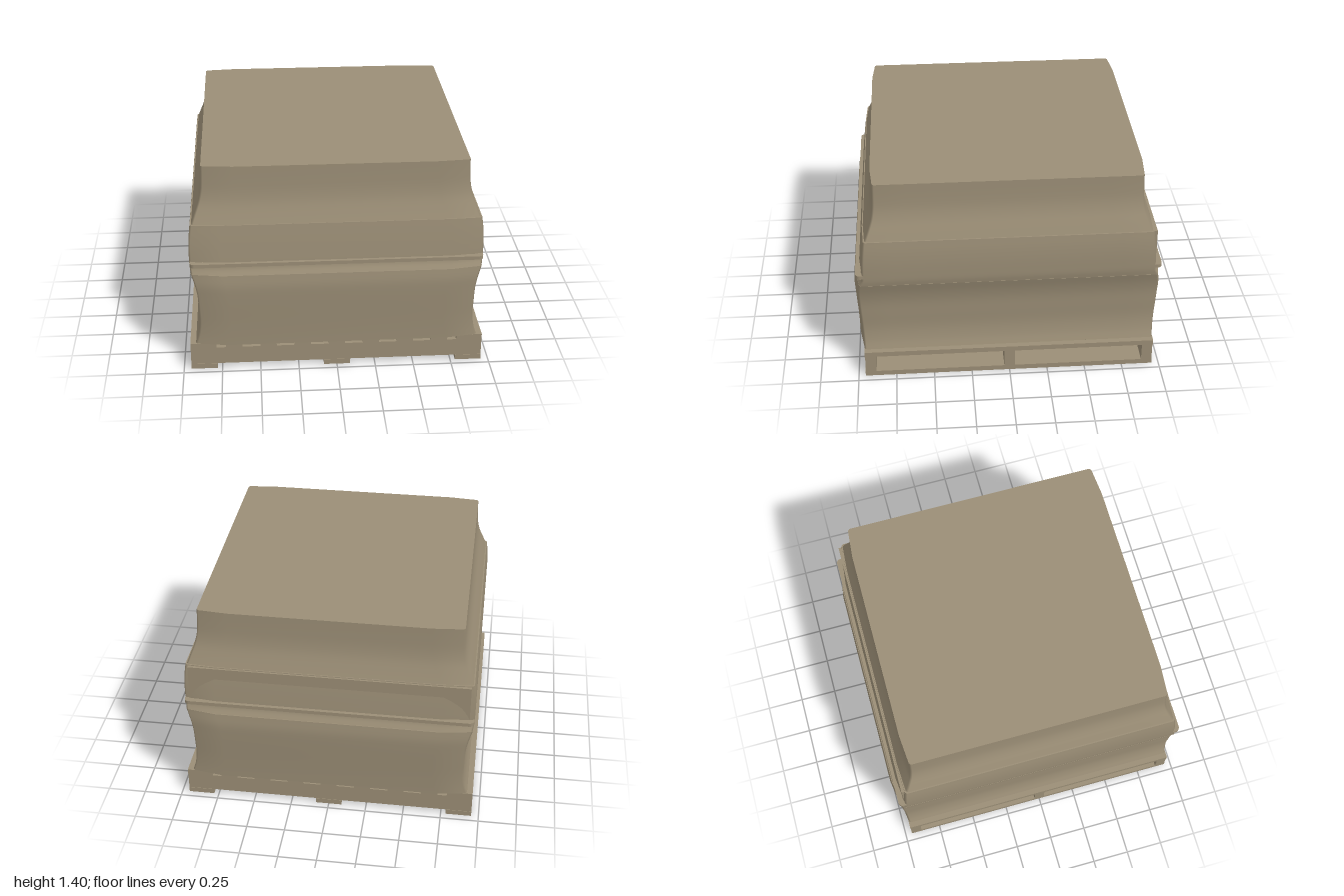
import * as THREE from 'three';

const wrapped = new THREE.MeshStandardMaterial({ color: 0x9b8e76 });
wrapped.name = 'tan';

// Outline of the load at one height: nearly square, bowed a little along front and back
function section(hx, hz, bow) {
  const quarter = [[hx, hz - 0.22], [hx, hz - bow - 0.012], [hx - 0.012, hz - bow], [hx - 0.2, hz]];
  const back = [...quarter].reverse();
  return [
    ...quarter,
    ...back.map(([x, z]) => [-x, z]),
    ...quarter.map(([x, z]) => [-x, -z]),
    ...back.map(([x, z]) => [x, -z]),
  ];
}

// Smooth wall through [y, halfX, halfZ, bow] rows, closed by flat caps
function loft(profile, rows) {
  const curve = new THREE.CatmullRomCurve3(profile.map(([y, hx, hz]) => new THREE.Vector3(hx, y, hz)));
  const bows = profile.map((p) => p[3]);
  const pos = [], index = [];
  let n = 0;
  const ring = (t) => {
    const p = curve.getPoint(t);
    const f = t * (bows.length - 1), k = Math.min(Math.floor(f), bows.length - 2);
    const pts = section(p.x, p.z, THREE.MathUtils.lerp(bows[k], bows[k + 1], f - k));
    n = pts.length;
    pts.forEach(([x, z]) => pos.push(x, p.y, z));
  };
  for (let r = 0; r <= rows; r++) ring(r / rows);
  for (let r = 0; r < rows; r++) {
    for (let i = 0; i < n; i++) {
      const a = r * n + i, b = r * n + (i + 1) % n;
      index.push(a, a + n, b, b, a + n, b + n);
    }
  }
  const low = (rows + 1) * n, high = low + n;
  ring(0);
  ring(1);
  for (let i = 1; i < n - 1; i++) {
    index.push(low, low + i, low + i + 1, high, high + i + 1, high + i);
  }
  const geo = new THREE.BufferGeometry();
  geo.setAttribute('position', new THREE.Float32BufferAttribute(pos, 3));
  geo.setIndex(index);
  geo.computeVertexNormals();
  return geo;
}

function roundedRect(Type, hx, hz, r) {
  const s = new Type();
  s.moveTo(hx, -hz + r);
  s.lineTo(hx, hz - r);
  s.absarc(hx - r, hz - r, r, 0, Math.PI / 2);
  s.absarc(-hx + r, hz - r, r, Math.PI / 2, Math.PI);
  s.absarc(-hx + r, -hz + r, r, Math.PI, Math.PI * 1.5);
  s.absarc(hx - r, -hz + r, r, Math.PI * 1.5, Math.PI * 2);
  return s;
}

export function createModel() {
  const model = new THREE.Group();
  model.name = 'wrappedPallet';
  const add = (parent, name, geo, x = 0, y = 0, z = 0) => {
    const mesh = new THREE.Mesh(geo, wrapped);
    mesh.name = name;
    mesh.position.set(x, y, z);
    parent.add(mesh);
    return mesh;
  };
  const box = (parent, name, x0, x1, y0, y1, z0, z1) =>
    add(parent, name, new THREE.BoxGeometry(x1 - x0, y1 - y0, z1 - z0), (x0 + x1) / 2, (y0 + y1) / 2, (z0 + z1) / 2);

  // Pallet: bottom boards, stringers and deck slats
  const pallet = new THREE.Group();
  pallet.name = 'pallet';
  model.add(pallet);
  for (const x of [-0.867, 0, 0.867]) box(pallet, 'bottomBoard', x - 0.085, x + 0.085, 0, 0.035, -0.955, 0.955);
  for (const z of [-0.917, 0, 0.917]) box(pallet, 'stringer', -0.952, 0.952, 0.035, 0.155, z - 0.035, z + 0.035);
  for (const s of [-1, 1]) box(pallet, 'endSlat', s * 0.868 - 0.084, s * 0.868 + 0.084, 0.155, 0.19, -0.955, 0.955);
  for (let i = -3; i <= 3; i++) box(pallet, 'deckSlat', i * 0.223 - 0.053, i * 0.223 + 0.053, 0.155, 0.19, -0.955, 0.955);

  // Load: bulging lower part, wrapped band, tapering upper part
  const load = new THREE.Group();
  load.name = 'load';
  model.add(load);
  add(load, 'lowerLoad', loft([
    [0.19, 0.915, 0.982, 0.03], [0.25, 0.896, 0.984, 0.03], [0.34, 0.883, 0.988, 0.03], [0.45, 0.885, 0.994, 0.03],
    [0.55, 0.889, 0.999, 0.03], [0.63, 0.903, 1.0, 0.03], [0.705, 0.925, 0.99, 0.03],
  ], 18), 0, 0, 0);
  add(load, 'wrapBand', loft([
    [0.705, 0.923, 0.985, 0.025], [0.745, 0.93, 0.964, 0.025], [0.8, 0.932, 0.957, 0.02],
    [0.88, 0.932, 0.948, 0.015], [0.96, 0.927, 0.938, 0.012], [1.03, 0.918, 0.928, 0.01],
  ], 15));
  add(load, 'upperLoad', loft([
    [1.03, 0.91, 0.922, 0.012], [1.09, 0.888, 0.9, 0.014], [1.16, 0.862, 0.878, 0.016],
    [1.23, 0.846, 0.867, 0.016], [1.31, 0.84, 0.863, 0.016], [1.4, 0.838, 0.861, 0.016],
  ], 15));

  // Flat panel standing out of the back of the band
  box(load, 'backPanel', -0.9, 0.9, 0.79, 1.024, -0.94, -0.85);

  // Thin frame around the load, standing out at front and back
  const frame = roundedRect(THREE.Shape, 0.929, 0.98, 0.03);
  frame.holes.push(roundedRect(THREE.Path, 0.905, 0.945, 0.02));
  const frameGeo = new THREE.ExtrudeGeometry(frame, { depth: 0.024, bevelEnabled: false, curveSegments: 6 });
  frameGeo.rotateX(-Math.PI / 2);
  add(model, 'strapFrame', frameGeo, 0, 0.762, 0);

  return model;
}
